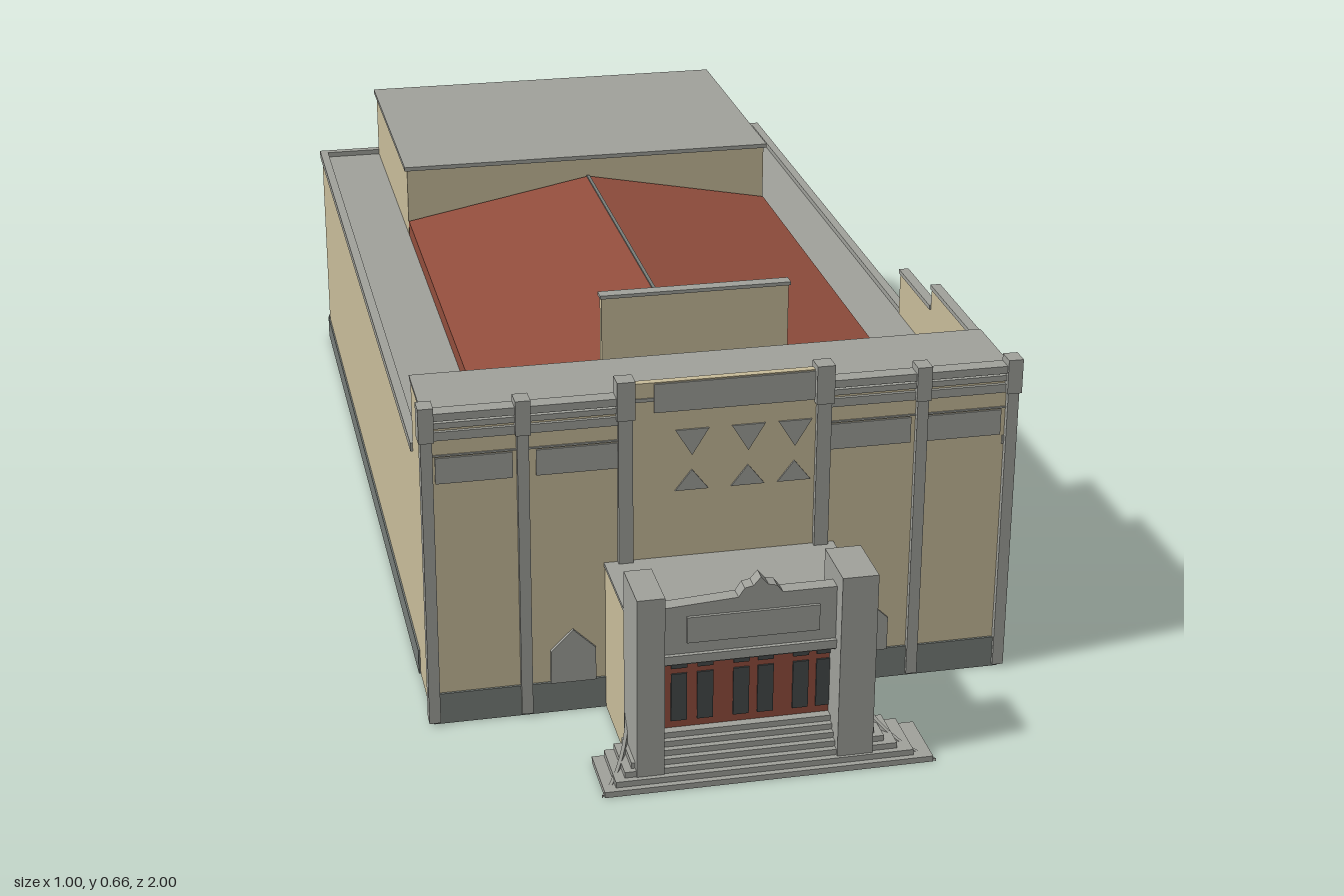
import * as THREE from 'three';

const mat = (name, color, side = THREE.FrontSide) => {
  const m = new THREE.MeshStandardMaterial({ color, side });
  m.name = name;
  return m;
};

export function createModel() {
  const model = new THREE.Group();
  model.name = 'theatreBuilding';
  const wall = mat('cream wall', 0xc8bc9a);
  const stone = mat('grey stone', 0xa0a19b, THREE.DoubleSide);
  const dark = mat('dark base', 0x777d79);
  const red = mat('red roof and doors', 0x924e3d, THREE.DoubleSide);
  const glass = mat('dark glass', 0x454a4a);

  const add = (name, geo, m) => {
    const mesh = new THREE.Mesh(geo, m);
    mesh.name = name;
    model.add(mesh);
    return mesh;
  };
  // box given by its extents
  const box = (name, m, x0, x1, y0, y1, z0, z1) => {
    const g = new THREE.BoxGeometry(x1 - x0, y1 - y0, z1 - z0);
    g.translate((x0 + x1) / 2, (y0 + y1) / 2, (z0 + z1) / 2);
    return add(name, g, m);
  };
  // flat outline in the front plane, extruded towards +z
  const plate = (name, m, pts, z, depth) => {
    const s = new THREE.Shape(pts.map(p => new THREE.Vector2(p[0], p[1])));
    const g = new THREE.ExtrudeGeometry(s, { depth, bevelEnabled: false });
    g.translate(0, 0, z);
    return add(name, g, m);
  };

  // main hall, with a grey flat deck
  const body = [wall, wall, stone, dark, wall, wall];
  box('hall', body, -0.488, 0.485, 0, 0.425, -0.995, 0.718);
  box('hallFootingBack', dark, -0.49, 0.488, 0, 0.05, -1, -0.99);
  box('hallFootingRight', dark, -0.491, -0.48, 0, 0.045, -1, 0.55);
  box('hallFootingLeft', stone, 0.48, 0.489, 0, 0.07, -1, 0.72);
  box('hallFootingFront', dark, -0.488, 0.488, 0, 0.056, 0.71, 0.722);

  // low rim around the deck
  box('rimRight', stone, -0.492, -0.476, 0.42, 0.435, -1, 0.55);
  box('rimLeft', stone, 0.474, 0.49, 0.42, 0.435, -1, 0.72);
  box('rimBack', stone, -0.492, 0.49, 0.42, 0.435, -1, -0.984);

  // stepped parapet along the left side
  for (const [z0, z1, h] of [[0.325, 0.55, 0.545], [0.14, 0.325, 0.505]]) {
    box('sideParapet', wall, 0.473, 0.485, 0.425, h, z0, z1);
    box('sideParapetCoping', stone, 0.47, 0.488, h, h + 0.008, z0, z1);
  }

  // rear stage block
  box('stageBlock', wall, -0.365, 0.365, 0.42, 0.56, -0.99, -0.465);
  box('stageRoof', stone, -0.37, 0.37, 0.56, 0.568, -0.995, -0.46);

  // red gabled roof with cut front corners
  const roofOutline = [[-0.365, -0.46], [-0.365, 0.44], [-0.3, 0.53], [0, 0.537],
    [0, 0.537], [0.3, 0.53], [0.365, 0.44], [0.365, -0.46]];
  const roofY = x => 0.525 - 0.07 * Math.abs(x) / 0.365;
  const rp = [];
  const tri = (...c) => c.forEach(v => rp.push(...v));
  const ridge = [0, 0.525, -0.46];
  roofOutline.forEach(([x, z], i) => {
    const n = roofOutline[i + 1];
    if (!n) return;
    const a = [x, roofY(x), z], b = [n[0], roofY(n[0]), n[1]];
    const a0 = [x, 0.42, z], b0 = [n[0], 0.42, n[1]];
    tri(ridge, a, b);
    tri(a, a0, b, b, a0, b0);
  });
  const roofGeo = new THREE.BufferGeometry();
  roofGeo.setAttribute('position', new THREE.Float32BufferAttribute(rp, 3));
  roofGeo.computeVertexNormals();
  add('gableRoof', roofGeo, red);
  box('roofRidge', dark, -0.003, 0.003, 0.522, 0.527, -0.46, 0.535);

  // raised board behind the front
  box('raisedBoard', wall, -0.162, 0.158, 0.48, 0.65, 0.497, 0.513);
  box('raisedBoardCap', stone, -0.165, 0.161, 0.65, 0.656, 0.494, 0.516);

  // front block and its cornice
  box('frontBlock', [wall, wall, stone, stone, wall, stone],
    -0.488, 0.485, 0.42, 0.55, 0.55, 0.718);
  box('frontBlockRoof', stone, -0.49, 0.488, 0.55, 0.556, 0.547, 0.72);
  box('centreParapet', wall, -0.155, 0.155, 0.5, 0.582, 0.705, 0.718);
  for (const [x0, x1] of [[-0.48, -0.34], [-0.325, -0.175], [0.175, 0.325], [0.34, 0.48]]) {
    box('cornice', stone, x0, x1, 0.515, 0.53, 0.71, 0.724);
    box('corniceMiddle', stone, x0, x1, 0.536, 0.546, 0.71, 0.725);
    box('corniceTop', stone, x0, x1, 0.55, 0.563, 0.7, 0.727);
    box('frieze', stone, x0, x1, 0.485, 0.488, 0.712, 0.72);
  }
  for (const [x0, x1] of [[-0.473, -0.348], [-0.31, -0.177], [0.177, 0.315], [0.343, 0.47]])
    box('frontWindowStrip', stone, x0, x1, 0.438, 0.483, 0.714, 0.721);
  box('latticePanel', stone, -0.117, 0.15, 0.53, 0.58, 0.713, 0.721);

  // front pilasters with wider heads
  for (const s of [-1, 1])
    for (const [x, w, neck, top] of [[0.487, 0.019, 0.515, 0.575],
      [0.332, 0.019, 0.515, 0.575], [0.165, 0.024, 0.525, 0.592]]) {
      box('pilaster', stone, s * x - w / 2, s * x + w / 2, 0.005, neck, 0.705, 0.728);
      const h = w / 2 + 0.003;
      box('pilasterHead', stone, s * x - h, s * x + h, neck, top, 0.7, 0.732);
    }

  // triangular ornaments
  for (const x of [-0.054, 0.04, 0.118]) {
    plate('triangleDown', stone, [[x, 0.45], [x + 0.028, 0.496], [x - 0.028, 0.496]], 0.715, 0.006);
    plate('triangleUp', stone, [[x - 0.028, 0.388], [x + 0.028, 0.388], [x, 0.424]], 0.715, 0.006);
  }

  // pointed side doors
  for (const x of [-0.253, 0.25])
    plate('sideDoor', stone, [[x - 0.038, 0.055], [x + 0.038, 0.055], [x + 0.038, 0.115],
      [x, 0.152], [x - 0.038, 0.115]], 0.717, 0.007);

  // left side: thin pilasters and bands
  [0.515, 0.325, 0.14, -0.063, -0.265, -0.465, -0.665, -0.86].forEach((z, i) =>
    box('sidePilaster', stone, 0.48, 0.49, 0.07, [0.55, 0.55, 0.51][i] || 0.43, z - 0.006, z + 0.006));

  // left side windows in pairs
  const sideWindow = (z, w, y0, y1) => {
    box('sideWindowFrame', glass, 0.482, 0.4865, y0 - 0.003, y1 + 0.003, z - w / 2 - 0.003, z + w / 2 + 0.003);
    box('sideWindow', dark, 0.482, 0.488, y0, y1, z - w / 2, z + w / 2);
  };
  [[0.25, 0.185], [0.063, 0], [-0.14, -0.207], [-0.34, -0.41], [-0.538, -0.602], [-0.73, -0.8]]
    .forEach((pair, i) => pair.forEach(z => {
      const y = z === pair[0] ? 0.275 : 0.28;
      sideWindow(z, 0.034, y, y + 0.072);
      sideWindow(z, i > 3 ? 0.026 : 0.034, i > 3 ? 0.118 : 0.108, 0.172);
    }));
  for (const z of [0.65, 0.56, 0.455, 0.385]) sideWindow(z, 0.024, 0.112, 0.162);

  // entrance porch
  box('porch', wall, -0.198, 0.187, 0, 0.262, 0.71, 0.885);
  box('porchRoof', stone, -0.2, 0.189, 0.262, 0.268, 0.71, 0.94);
  box('pylonRight', stone, -0.2, -0.155, 0, 0.335, 0.88, 0.982);
  box('pylonLeft', stone, 0.128, 0.187, 0, 0.341, 0.88, 0.985);
  plate('lintel', stone, [[-0.157, 0.2], [-0.13, 0.2], [0.13, 0.2], [0.13, 0.312], [0.04, 0.312],
    [0.03, 0.325], [0.016, 0.328], [0.004, 0.342], [-0.008, 0.328], [-0.022, 0.325],
    [-0.032, 0.31], [-0.157, 0.302]], 0.93, 0.025);
  box('lintelBand', stone, -0.155, 0.128, 0.205, 0.22, 0.95, 0.962);
  box('lintelPanel', stone, -0.115, 0.1, 0.24, 0.285, 0.95, 0.96);

  // red entrance doors with dark panes
  box('doors', red, -0.155, 0.13, 0.065, 0.202, 0.9, 0.925);
  for (const x of [-0.12, -0.077, -0.018, 0.022, 0.08, 0.119]) {
    box('doorPane', glass, x - 0.013, x + 0.013, 0.083, 0.168, 0.92, 0.928);
    box('transomPane', glass, x - 0.013, x + 0.013, 0.178, 0.195, 0.92, 0.928);
  }

  // flared steps
  const n = 7;
  for (let i = 0; i < n; i++) {
    const t = 1 - i / (n - 1);
    box('step', stone, -0.19 - 0.065 * t ** 2, 0.185 + 0.1 * t ** 2,
      i * 0.01, (i + 1) * 0.01, 0.89, 1 - i * 0.01);
  }

  // curved curbs sweeping down beside the steps
  const curb = (x, dx) => {
    const pos = [], idx = [], k = 8;
    for (let i = 0; i <= k; i++) {
      const t = i / k, px = x + dx * t ** 1.5, pz = 0.885 + 0.115 * t;
      const h = 0.005 + 0.08 * (1 - t) ** 1.5, w = 0.006 * Math.sign(dx);
      pos.push(px, 0, pz, px, h, pz, px - w, h, pz, px - w, 0, pz);
      if (i < k) for (let j = 0; j < 3; j++) {
        const a = i * 4 + j;
        idx.push(a, a + 1, a + 4, a + 1, a + 5, a + 4);
      }
    }
    const g = new THREE.BufferGeometry();
    g.setAttribute('position', new THREE.Float32BufferAttribute(pos, 3));
    g.setIndex(idx);
    const flat = g.toNonIndexed();
    flat.computeVertexNormals();
    add('stepCurb', flat, stone);
  };
  curb(-0.2, -0.06);
  curb(0.19, 0.1);

  return model;
}
